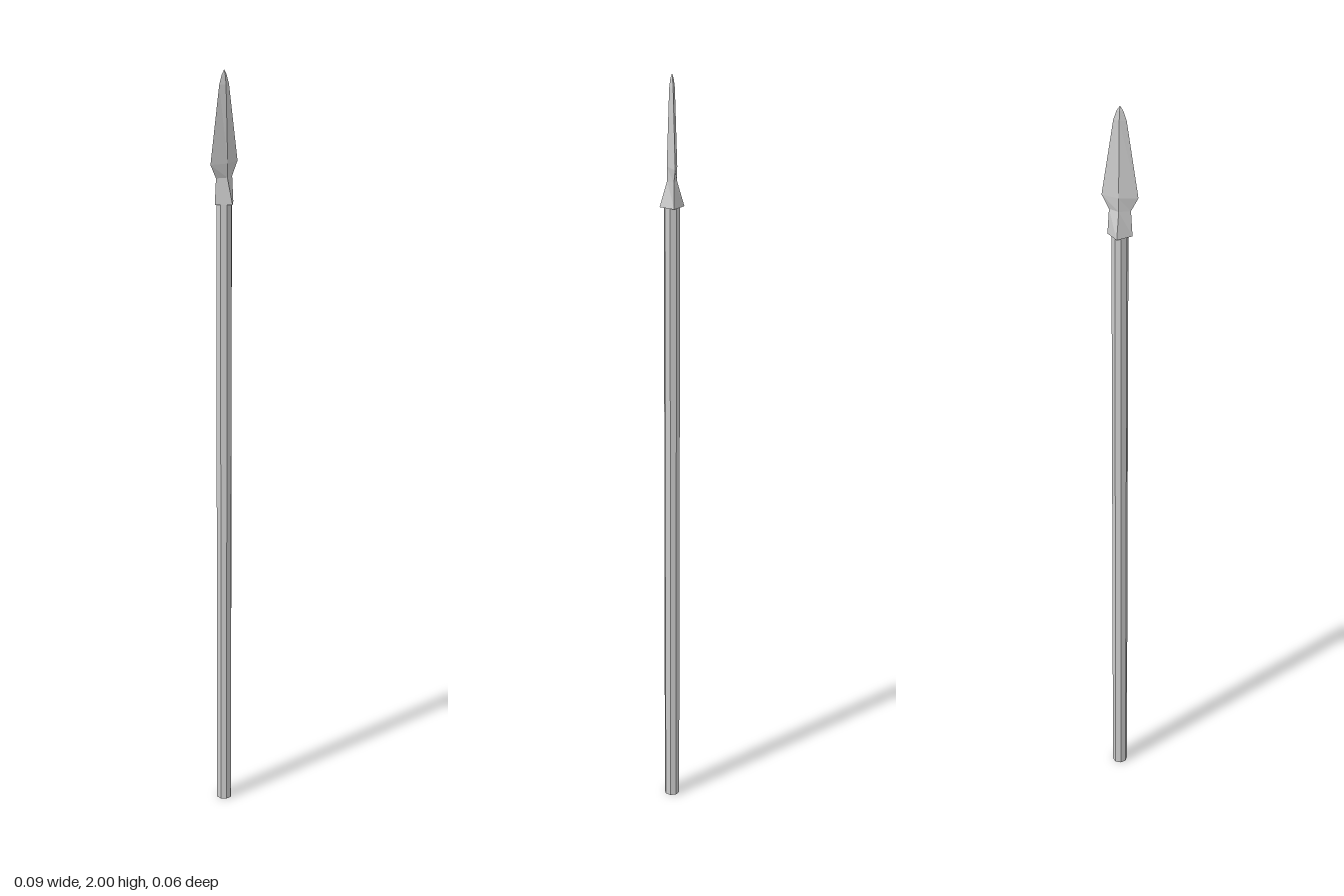
import * as THREE from 'three';

const material = new THREE.MeshStandardMaterial({ color: 0xcccccc, flatShading: true });

// Diamond cross-sections stacked along y: [y, half width, half depth]
function diamondLoft(rings) {
  const profile = rings.map(([y, w]) => new THREE.Vector2(w, y));
  const geometry = new THREE.LatheGeometry(profile, 4);
  const pos = geometry.attributes.position;
  for (let i = 0; i < pos.count; i++) {
    const [, w, d] = rings[i % rings.length];
    if (w > 0) pos.setZ(i, pos.getZ(i) * d / w);
  }
  geometry.computeVertexNormals();
  return geometry;
}

export function createModel() {
  const group = new THREE.Group();
  group.name = 'spear';

  // Octagonal shaft with flats facing the axes
  const shaftTop = 1.685;
  const shaft = new THREE.Mesh(
    new THREE.CylinderGeometry(0.0205, 0.0205, shaftTop, 8).rotateY(Math.PI / 8), material);
  shaft.position.y = shaftTop / 2;
  shaft.name = 'shaft';
  group.add(shaft);

  // Socket, neck and ridged leaf blade in one piece
  const head = new THREE.Mesh(diamondLoft([
    [1.675, 0, 0],
    [1.675, 0.031, 0.031],
    [1.74, 0.027, 0.012],
    [1.775, 0.045, 0.013],
    [1.965, 0.016, 0.007],
    [1.988, 0.008, 0.004],
    [2, 0, 0],
  ]), material);
  head.name = 'spearhead';
  group.add(head);

  return group;
}
